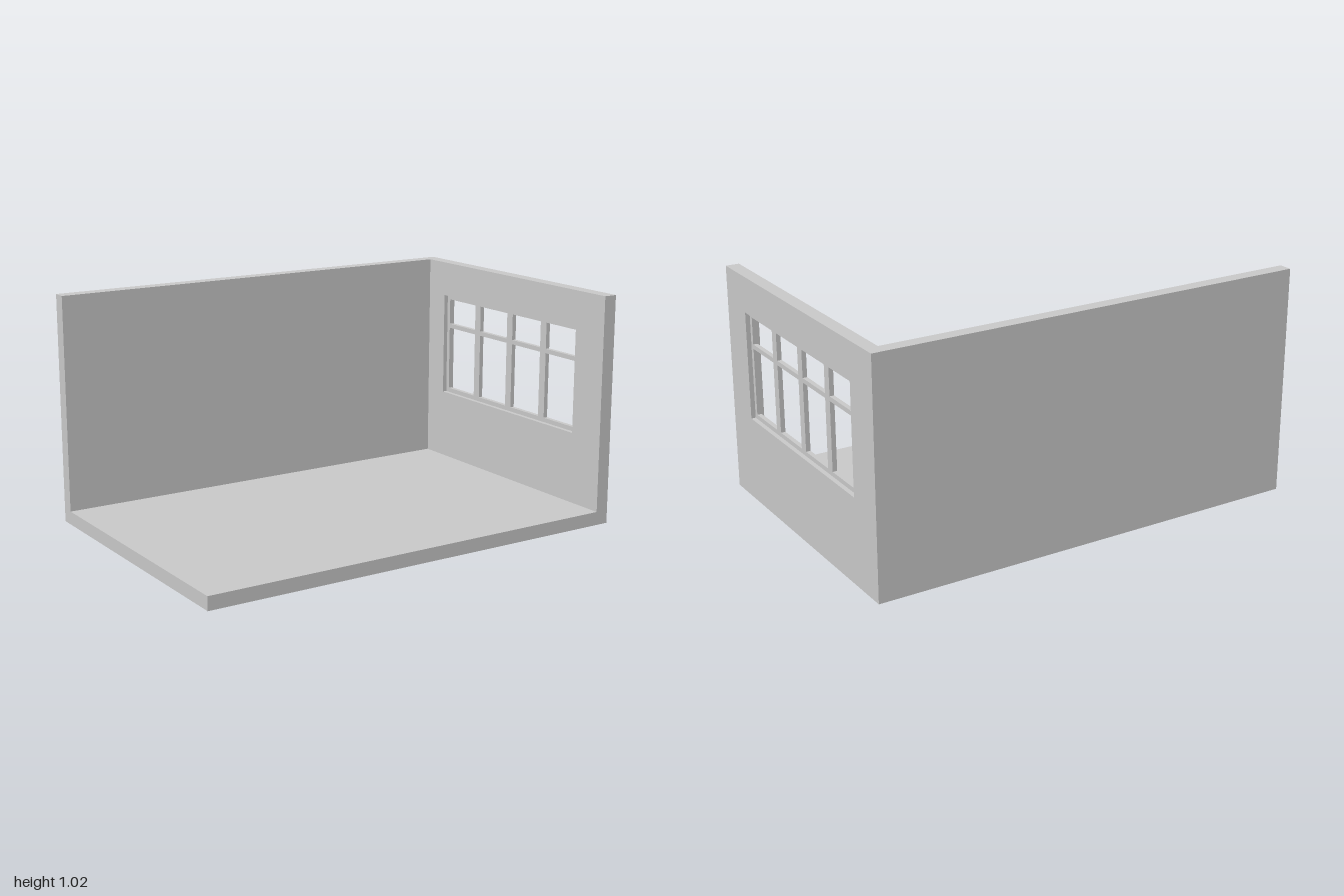
import * as THREE from 'three';

const material = new THREE.MeshStandardMaterial({ color: 0xcccccc, flatShading: true });

// Traces a rectangle onto a Shape or Path
function rect(path, x0, y0, x1, y1) {
  path.moveTo(x0, y0);
  path.lineTo(x1, y0);
  path.lineTo(x1, y1);
  path.lineTo(x0, y1);
  path.closePath();
  return path;
}

// Upright panel facing +x, with rectangular openings [z0, y0, z1, y1]
function sidePanel(name, outline, openings, x0, x1) {
  const shape = rect(new THREE.Shape(), ...outline);
  for (const o of openings) shape.holes.push(rect(new THREE.Path(), ...o));
  const geometry = new THREE.ExtrudeGeometry(shape, { depth: x1 - x0, bevelEnabled: false });
  geometry.rotateY(Math.PI / 2).translate(x0, 0, 0);
  const mesh = new THREE.Mesh(geometry, material);
  mesh.name = name;
  return mesh;
}

// Box given by its two extreme corners
function slab(name, min, max) {
  const size = max.map((v, i) => v - min[i]);
  const mesh = new THREE.Mesh(new THREE.BoxGeometry(...size), material);
  mesh.position.set(...max.map((v, i) => (v + min[i]) / 2));
  mesh.name = name;
  return mesh;
}

export function createModel() {
  const room = new THREE.Group();
  room.name = 'room';

  // Floor and rear wall, both ending at the inner face of the side wall
  room.add(slab('floor', [-1, 0, -0.66], [0.94, 0.06, 0.66]));
  room.add(slab('backWall', [-1, 0.06, -0.66], [0.94, 1.02, -0.6]));

  // Side wall with the window opening
  const opening = [-0.48, 0.38, 0.48, 0.86];
  room.add(sidePanel('windowWall', [-0.66, 0, 0.66, 1.02], [opening], 0.94, 1));

  // Recessed window frame: four columns of a tall pane below a short one
  const panes = [];
  for (let i = 0; i < 4; i++) {
    const z = -0.46 + i * 0.24;
    panes.push([z, 0.4, z + 0.2, 0.7], [z, 0.72, z + 0.2, 0.84]);
  }
  room.add(sidePanel('windowFrame', opening, panes, 0.96, 0.98));

  return room;
}
